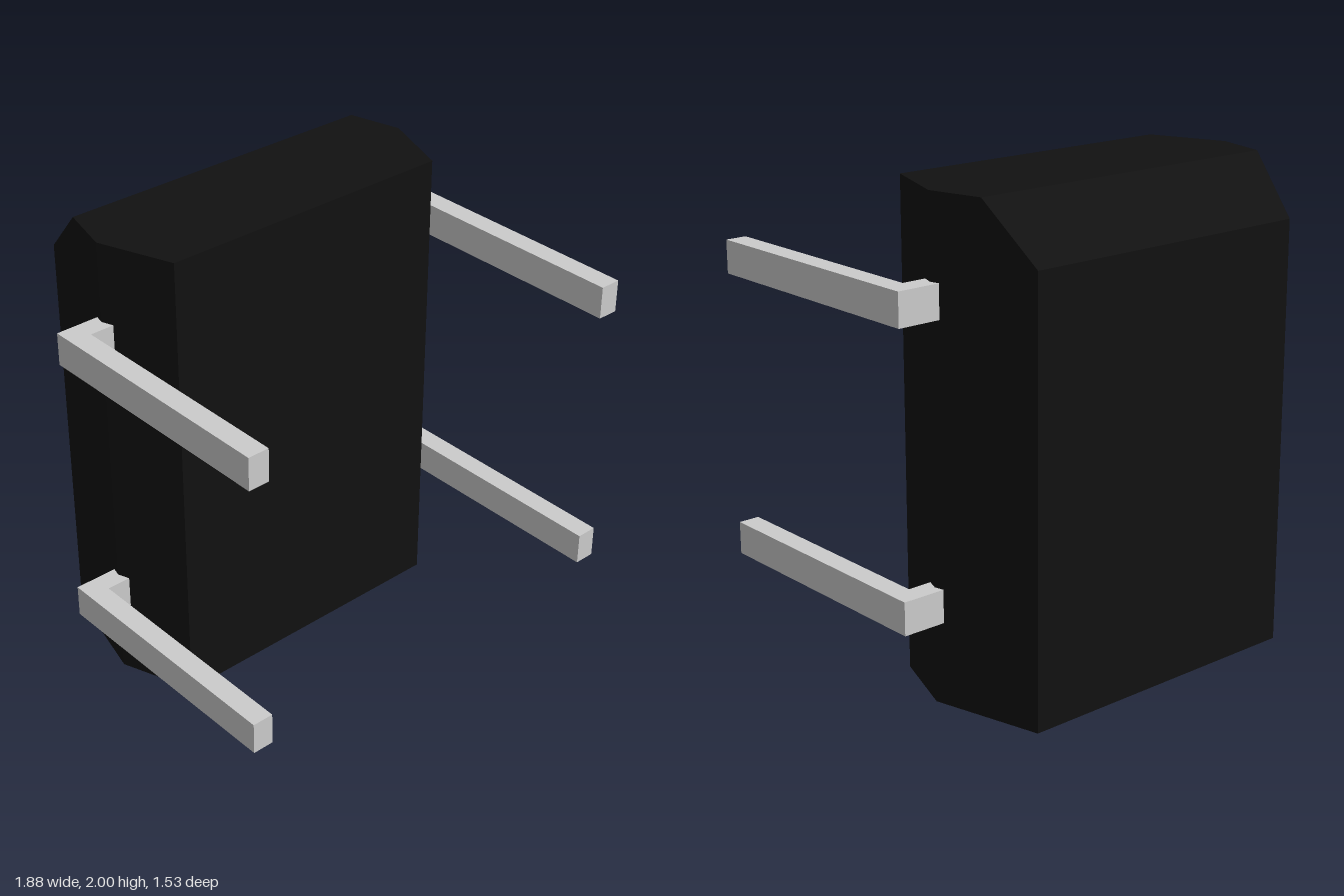
import * as THREE from 'three';
import { ConvexGeometry } from 'three/addons/geometries/ConvexGeometry.js';

const HEIGHT = 2;
const FRONT = 0.01, WAIST = -0.305, BACK = -0.765; // z of the plan's corners
const NARROW = 0.65, WIDE = 0.765;                 // half widths
const CUT_Z = -0.53, CUT_Y = 1.77;                 // bevel along the top back edge

// Six-sided pack with its upper back edge cut off at an angle
function packGeometry() {
  const cutX = THREE.MathUtils.mapLinear(CUT_Z, BACK, WAIST, NARROW, WIDE);
  const points = [];
  for (const s of [-1, 1]) {
    for (const y of [0, HEIGHT]) {
      points.push(new THREE.Vector3(s * NARROW, y, FRONT), new THREE.Vector3(s * WIDE, y, WAIST));
    }
    points.push(
      new THREE.Vector3(s * NARROW, 0, BACK),
      new THREE.Vector3(s * NARROW, CUT_Y, BACK),
      new THREE.Vector3(s * cutX, HEIGHT, CUT_Z)
    );
  }
  return new ConvexGeometry(points);
}

// L-shaped arm drawn in plan: a short stub out of the side, then a long bar forward
function armGeometry(side, thickness) {
  const plan = [
    [0.72, -0.345], [0.94, -0.345], [0.94, 0.765],
    [0.85, 0.765], [0.85, -0.255], [0.72, -0.255],
  ].map(([x, z]) => new THREE.Vector2(side * x, z));
  return new THREE.ExtrudeGeometry(new THREE.Shape(plan), { depth: thickness, bevelEnabled: false })
    .rotateX(Math.PI / 2);
}

export function createModel() {
  const group = new THREE.Group();
  const black = new THREE.MeshStandardMaterial({ color: 0x111111, flatShading: true });
  const grey = new THREE.MeshStandardMaterial({ color: 0xcccccc, flatShading: true });

  const pack = new THREE.Mesh(packGeometry(), black);
  pack.name = 'pack';
  group.add(pack);

  // Upper and lower arm on each side
  for (const [sideName, side] of [['left', 1], ['right', -1]]) {
    for (const [level, top] of [['Upper', 1.665], ['Lower', 0.475]]) {
      const arm = new THREE.Mesh(armGeometry(side, 0.137), grey);
      arm.name = `${sideName}${level}Arm`;
      arm.position.y = top;
      group.add(arm);
    }
  }
  return group;
}
